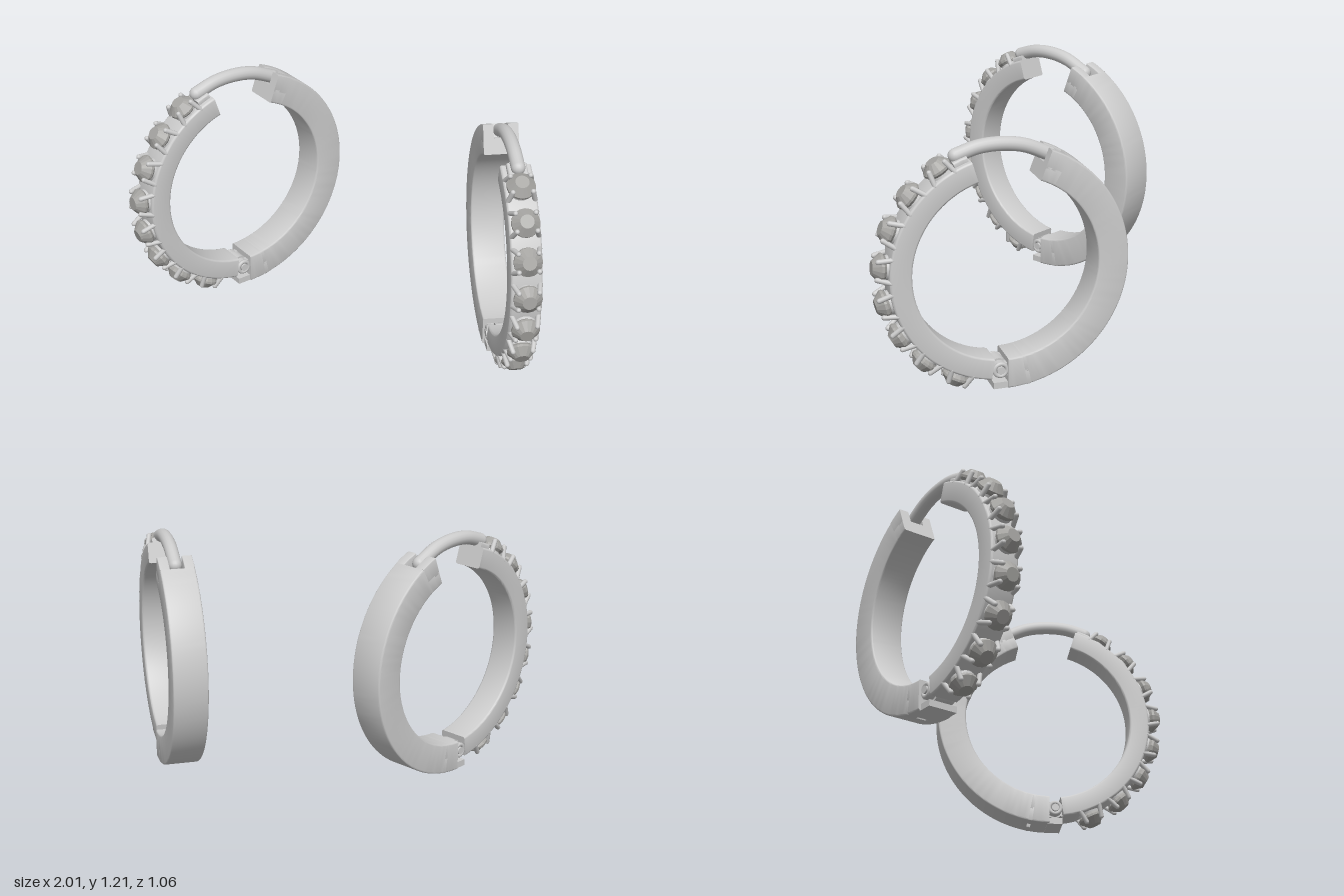
import * as THREE from 'three';
import { mergeGeometries, toCreasedNormals } from 'three/addons/utils/BufferGeometryUtils.js';

const metal = new THREE.MeshStandardMaterial({ color: 0xcccccc });
const gem = new THREE.MeshStandardMaterial({ color: 0xa6a5a2, flatShading: true });
const rad = THREE.MathUtils.degToRad;

// Hoop frame: x across the band, y up, z to the front; angles run from the top towards the front.
const AXES = new THREE.Matrix4().makeBasis(
  new THREE.Vector3(0, 0, 1), new THREE.Vector3(1, 0, 0), new THREE.Vector3(0, 1, 0));

// Rectangle (radius x width) with rounded corners, counter-clockwise
function section(r0, r1, w0, w1, c) {
  const corners = [[r1 - c, w0 + c, -90], [r1 - c, w1 - c, 0], [r0 + c, w1 - c, 90], [r0 + c, w0 + c, 180]];
  const pts = [];
  for (const [r, w, start] of corners) {
    for (let i = 0; i <= 3; i++) {
      const a = rad(start + i * 30);
      pts.push(new THREE.Vector2(r + c * Math.cos(a), w + c * Math.sin(a)));
    }
  }
  return pts;
}

// Solid piece of a ring between two angles, closed at both ends
function arcSolid(r0, r1, w0, w1, deg0, deg1, c = 0.002) {
  const pts = section(r0, r1, w0, w1, c);
  const steps = Math.max(2, Math.ceil((deg1 - deg0) / 2.5));
  const side = new THREE.LatheGeometry([...pts, pts[0].clone()], steps, rad(deg0), rad(deg1 - deg0));
  const caps = [deg0, deg1].map((deg, end) => {
    const cap = new THREE.ShapeGeometry(new THREE.Shape(pts));
    if (end) cap.setIndex(Array.from(cap.index.array).reverse());
    return cap.rotateY(rad(deg - 90));
  });
  return toCreasedNormals(mergeGeometries([side, ...caps]).applyMatrix4(AXES), 0.65);
}

function add(parent, name, geometry, material = metal) {
  const mesh = new THREE.Mesh(geometry, material);
  mesh.name = name;
  parent.add(mesh);
  return mesh;
}

// Round cut stone, table facing +y
const stoneGeo = new THREE.LatheGeometry(
  [[0, 0.485], [0.035, 0.505], [0.064, 0.538], [0.064, 0.549], [0.031, 0.583], [0, 0.583]]
    .map(([r, y]) => new THREE.Vector2(r, y)), 16);
const seatGeo = new THREE.CylinderGeometry(0.052, 0.058, 0.03, 24).translate(0, 0.515, 0);
const prongGeo = new THREE.CapsuleGeometry(0.0115, 0.062, 4, 10);

function stoneSetting(deg) {
  const g = new THREE.Group();
  g.name = 'stoneSetting';
  add(g, 'stone', stoneGeo, gem);
  add(g, 'seat', seatGeo);
  for (const sx of [-1, 1]) {
    for (const sz of [-1, 1]) {
      const prong = add(g, 'prong', prongGeo);
      prong.position.set(sx * 0.052, 0.535, sz * 0.046);
      prong.quaternion.setFromUnitVectors(new THREE.Vector3(0, 1, 0),
        new THREE.Vector3(-sx * 0.25, 1, -sz * 0.2).normalize());
    }
  }
  g.rotation.x = rad(deg);
  return g;
}

function hoop() {
  const g = new THREE.Group();
  const R0 = 0.415, R1 = 0.555, W = 0.082;

  // Back half: plain band with a small slot near the hinge and a catch slot at the top
  const back = new THREE.Group();
  back.name = 'backHalf';
  g.add(back);
  const slotted = (name, a, b, half, floor) => {
    add(back, name + 'Floor', arcSolid(R0, floor, -W, W, a, b, 0.008));
    for (const s of [-1, 1]) {
      add(back, name + 'Cheek', arcSolid(floor - 0.02, R1,
        s < 0 ? -W : half, s < 0 ? -half : W, a, b, 0.004));
    }
  };
  add(back, 'hingeEnd', arcSolid(R0, R1, -W, W, 180, 189, 0.008));
  slotted('releaseSlot', 189, 191, 0.024, 0.5);
  add(back, 'backBand', arcSolid(R0, R1, -W, W, 191, 330, 0.008));
  slotted('catch', 330, 339, 0.034, 0.49);

  // Front half: slimmer band carrying the row of stones
  const front = new THREE.Group();
  front.name = 'frontHalf';
  g.add(front);
  add(front, 'frontBand', arcSolid(0.418, 0.517, -0.07, 0.07, 17, 172, 0.01));
  add(front, 'postSocket', arcSolid(0.5, 0.54, -0.045, 0.045, 18, 25, 0.008));
  for (let i = 0; i < 8; i++) front.add(stoneSetting(31.8 + i * 17.8));

  // Curved ear post with rounded ends
  const at = (deg, r) => new THREE.Vector3(0, r * Math.cos(rad(deg)), r * Math.sin(rad(deg)));
  const path = new THREE.CatmullRomCurve3(
    [[22, 0.55], [11, 0.55], [0, 0.545], [-11, 0.538], [-24, 0.525]].map(([d, r]) => at(d, r)));
  add(g, 'earPost', new THREE.TubeGeometry(path, 32, 0.032, 16));
  for (const t of [0, 1]) {
    add(g, 'postEnd', new THREE.SphereGeometry(0.032, 16, 12)).position.copy(path.getPoint(t));
  }

  // Hinge: knuckles on a pin, a tongue from the front band and a foot plate
  const hinge = new THREE.Group();
  hinge.name = 'hinge';
  hinge.position.set(0, -0.472, 0.03);
  g.add(hinge);
  const across = (name, r, len, x) =>
    add(hinge, name, new THREE.CylinderGeometry(r, r, len, 24).rotateZ(Math.PI / 2).translate(x, 0, 0));
  across('centreKnuckle', 0.042, 0.056, 0);
  across('hingePin', 0.018, 0.15, 0);
  for (const s of [-1, 1]) {
    across('sideKnuckle', 0.036, 0.03, s * 0.047);
    add(hinge, 'knuckleRim', new THREE.TorusGeometry(0.028, 0.01, 8, 24)
      .rotateY(Math.PI / 2).translate(s * 0.062, 0, 0));
    add(hinge, 'sideLug', new THREE.BoxGeometry(0.03, 0.06, 0.04).translate(s * 0.047, 0, -0.02));
  }
  add(hinge, 'tongue', new THREE.BoxGeometry(0.056, 0.06, 0.06).translate(0, 0, 0.03));
  add(hinge, 'footPlate', new THREE.BoxGeometry(0.14, 0.03, 0.075).translate(0, -0.07, -0.003));
  return g;
}

export function createModel() {
  const model = new THREE.Group();
  model.name = 'hoopEarrings';
  for (const [name, x, y, turn] of [['leftEarring', 0.695, 0.558, 27.7], ['rightEarring', -0.655, 0.638, -32]]) {
    const g = hoop();
    g.name = name;
    g.position.set(x, y, 0);
    g.rotation.y = rad(turn);
    model.add(g);
  }
  return model;
}
